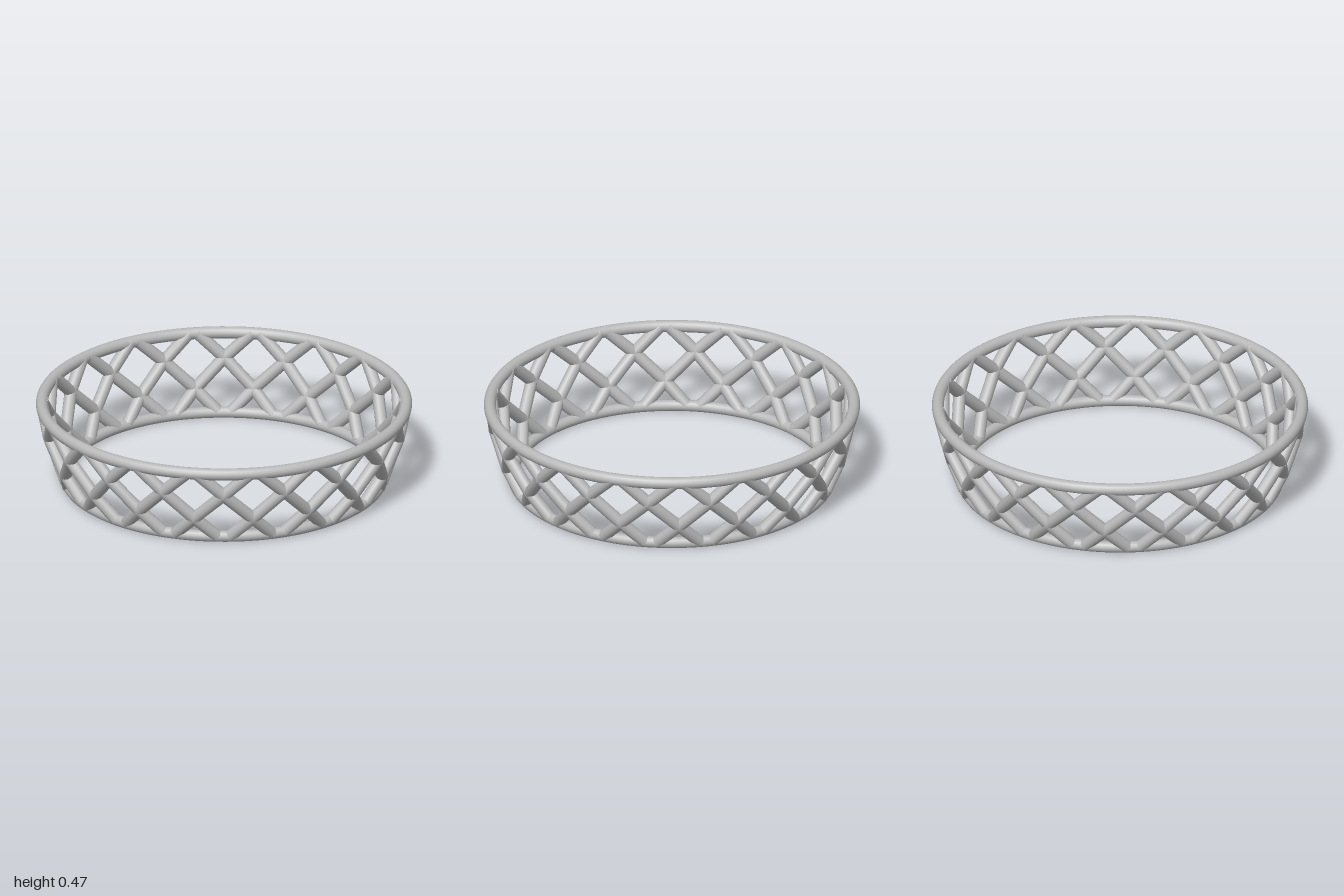
import * as THREE from 'three';

const COUNT = 18;            // lattice cells around the ring
const STEP = Math.PI / COUNT; // half a cell
const TUBE = 0.033;

// Radius of the gently flared, bulging wall at a given height
function wallRadius(y) {
  const t = (y - 0.03) / 0.41;
  return 0.845 + 0.122 * t + 0.07 * t * (1 - t);
}

function wallPoint(angle, y) {
  const r = wallRadius(y);
  return new THREE.Vector3(r * Math.sin(angle), y, r * Math.cos(angle));
}

export function createModel() {
  const group = new THREE.Group();
  const grey = new THREE.MeshStandardMaterial({ color: 0xb8b8b8 });
  grey.name = 'grey';

  // Round rims at top and bottom
  function rim(name, radius, y, tube) {
    const geo = new THREE.TorusGeometry(radius, tube, 16, 128);
    geo.rotateX(Math.PI / 2);
    const mesh = new THREE.Mesh(geo, grey);
    mesh.position.y = y;
    mesh.name = name;
    group.add(mesh);
  }
  rim('topRim', 0.968, 0.438, 0.032);
  rim('bottomRim', 0.845, 0.03, 0.03);

  // Straight round bar between two points
  const up = new THREE.Vector3(0, 1, 0);
  function bar(a, b) {
    const dir = b.clone().sub(a);
    const geo = new THREE.CylinderGeometry(TUBE, TUBE, dir.length() + 0.008, 12);
    const mesh = new THREE.Mesh(geo, grey);
    mesh.quaternion.setFromUnitVectors(up, dir.normalize());
    mesh.position.copy(a).add(b).multiplyScalar(0.5);
    mesh.name = 'latticeBar';
    return mesh;
  }

  // Heights where a strut starts, crosses others and ends
  const heights = [0.035, 0.15, 0.305, 0.438];
  const rise = 0.155;

  // Two mirrored families of leaning struts
  for (const side of [1, -1]) {
    const family = new THREE.Group();
    family.name = side > 0 ? 'leftLeaningStruts' : 'rightLeaningStruts';
    for (let i = 0; i < COUNT; i++) {
      const points = heights.map((y) =>
        wallPoint(i * 2 * STEP + side * STEP * (y - 0.15) / rise, y));
      for (let k = 0; k < points.length - 1; k++) family.add(bar(points[k], points[k + 1]));
    }
    group.add(family);
  }
  return group;
}
